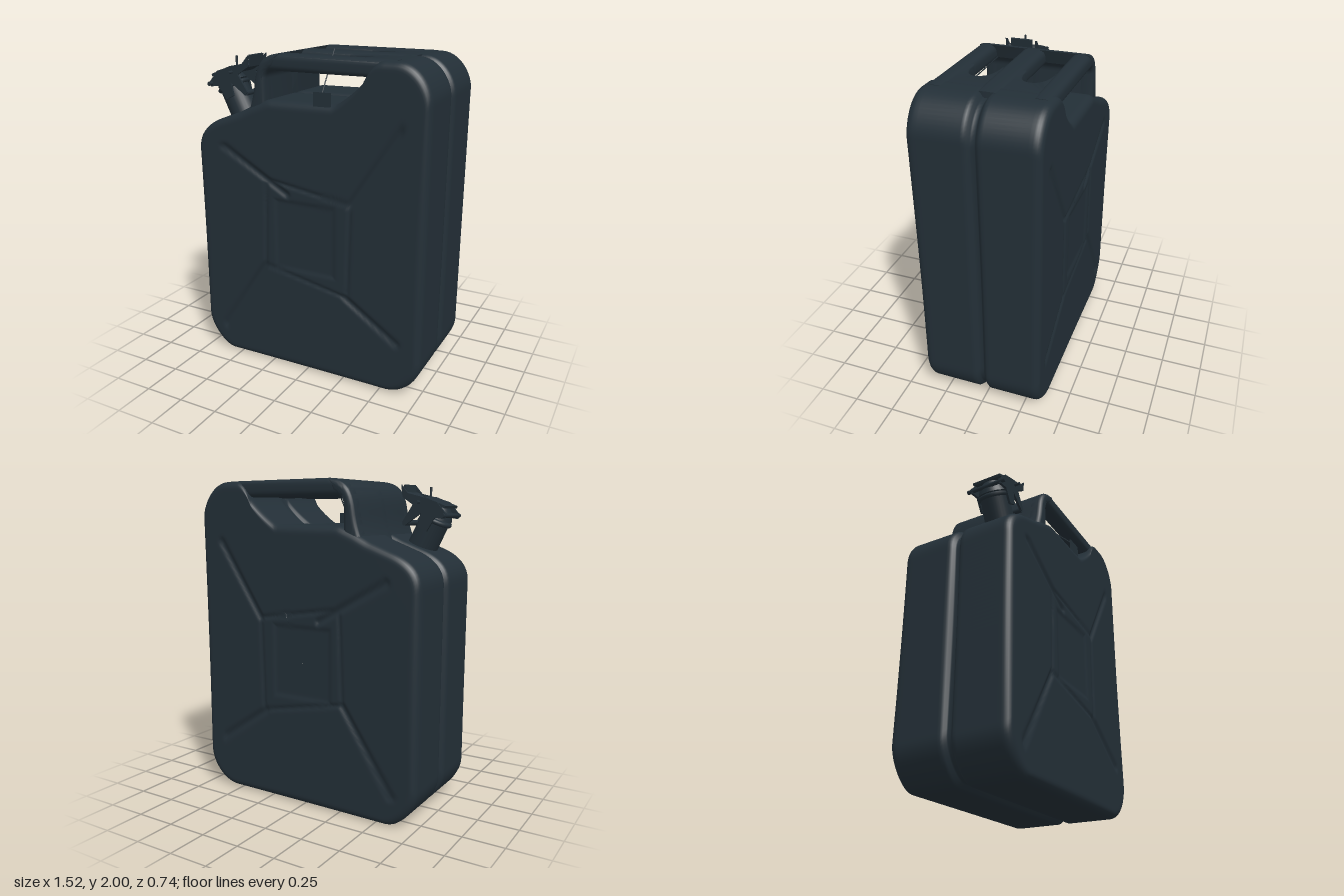
import * as THREE from 'three';
import { toCreasedNormals } from 'three/addons/utils/BufferGeometryUtils.js';

const paint = new THREE.MeshStandardMaterial({ color: 0x232f37 });
paint.name = 'dark slate paint';

function add(parent, name, geo, pos = [0, 0, 0], rot = [0, 0, 0]) {
  const mesh = new THREE.Mesh(geo, paint);
  mesh.name = name;
  mesh.position.set(...pos);
  mesh.rotation.set(...rot);
  parent.add(mesh);
  return mesh;
}

// Extrusion with rounded edges that stays inside its outline
function slab(shape, depth, bevel) {
  const geo = new THREE.ExtrudeGeometry(shape, {
    depth: depth - 2 * bevel, bevelEnabled: true, bevelSize: bevel, bevelThickness: bevel,
    bevelOffset: -bevel, bevelSegments: 5, curveSegments: 12,
  });
  geo.translate(0, 0, bevel);
  return toCreasedNormals(geo, 0.7);
}

// Side outline of the tank, counter-clockwise
function tankOutline() {
  const s = new THREE.Shape();
  s.moveTo(-0.57, 0);
  s.lineTo(0.55, 0.005);
  s.bezierCurveTo(0.66, 0.01, 0.755, 0.12, 0.755, 0.23);
  s.lineTo(0.76, 1.78);
  s.bezierCurveTo(0.75, 1.87, 0.67, 1.975, 0.57, 1.975);
  s.lineTo(0.47, 1.975);
  s.quadraticCurveTo(0.41, 1.95, 0.38, 1.87);
  s.quadraticCurveTo(0.31, 1.79, 0.2, 1.72);
  s.lineTo(-0.25, 1.715);
  s.lineTo(-0.36, 1.67);
  s.lineTo(-0.44, 1.63);
  s.lineTo(-0.6, 1.57);
  s.bezierCurveTo(-0.7, 1.53, -0.76, 1.47, -0.76, 1.38);
  s.lineTo(-0.76, 0.23);
  s.bezierCurveTo(-0.76, 0.13, -0.65, 0, -0.57, 0);
  return s;
}

// Pressed pattern of the large faces: four arms running into a framed square
const frame = [[-0.26, 1.24], [0.3, 1.155], [0.285, 0.57], [-0.28, 0.68]];
const tips = [[-0.56, 1.41], [0.6, 1.61], [0.61, 0.34], [-0.61, 0.18]];
const hub = [[-0.12, 1.16], [0.3, 1.15], [0.27, 0.57], [-0.28, 0.68]];

function segmentDistance(x, y, [ax, ay], [bx, by]) {
  const dx = bx - ax, dy = by - ay;
  const t = THREE.MathUtils.clamp(((x - ax) * dx + (y - ay) * dy) / (dx * dx + dy * dy), 0, 1);
  return Math.hypot(x - ax - t * dx, y - ay - t * dy);
}

function pressDepth(x, y) {
  let d = 1;
  for (let i = 0; i < 4; i++) {
    d = Math.min(d, segmentDistance(x, y, hub[i], tips[i]));
    d = Math.min(d, segmentDistance(x, y, frame[i], frame[(i + 1) % 4]) + 0.012);
  }
  const groove = 0.014 * (1 - THREE.MathUtils.smoothstep(d, 0, 0.035));
  const box = Math.max(Math.abs(x), Math.abs(y - 0.9) - 0.02);
  return groove + 0.008 * (1 - THREE.MathUtils.smoothstep(box, 0.185, 0.215));
}

// Tank lofted from the back centre to the front centre
function tankGeometry() {
  const N = 260, R = 0.05, cx = 0, cy = 0.9, faceRings = 64;
  const outline = tankOutline().getSpacedPoints(N).slice(0, N);
  const half = [[0.035, 0.01], [0.03, 0.017], [0.01, 0.028], [0, 0.042], [0, 0.06], [0, 0.3]];
  for (let i = 0; i <= 6; i++) {
    const a = (i / 6) * Math.PI / 2;
    half.push([R * (1 - Math.cos(a)), 0.32 + R * Math.sin(a)]);
  }
  const rings = half.map(([inset, z]) => ({ inset, z, scale: 1 }));
  for (let i = 1; i <= faceRings; i++) {
    rings.push({ inset: R, z: 0.37, scale: Math.max(0.001, 1 - i / faceRings) });
  }
  const all = [...rings.map((r) => ({ ...r, z: -r.z })).reverse(), ...rings];
  const pos = [], index = [];
  all.forEach(({ inset, z, scale }, r) => {
    for (let j = 0; j < N; j++) {
      const dx = outline[j].x - cx, dy = outline[j].y - cy;
      const k = scale * (1 - inset / Math.hypot(dx, dy));
      const x = cx + dx * k, y = cy + dy * k;
      pos.push(x, y, scale < 1 ? z - Math.sign(z) * pressDepth(x, y) : z);
      if (r < all.length - 1) {
        const a = r * N + j, b = r * N + (j + 1) % N;
        index.push(a, b, a + N, b, b + N, a + N);
      }
    }
  });
  const geo = new THREE.BufferGeometry();
  geo.setAttribute('position', new THREE.Float32BufferAttribute(pos, 3));
  geo.setIndex(index);
  geo.computeVertexNormals();
  return geo;
}

// Side outline of a handle bar with its post, or of the post alone
function handleOutline(postOnly) {
  const s = new THREE.Shape();
  s.moveTo(-0.27, 1.55);
  s.lineTo(-0.43, 1.57);
  s.quadraticCurveTo(-0.365, 1.66, -0.345, 1.8);
  s.bezierCurveTo(-0.325, 1.93, -0.28, 1.97, -0.17, 1.982);
  if (postOnly) {
    s.lineTo(-0.2, 1.9);
  } else {
    s.lineTo(0.55, 1.978);
    s.lineTo(0.55, 1.88);
    s.lineTo(-0.22, 1.88);
  }
  s.quadraticCurveTo(-0.27, 1.88, -0.27, 1.83);
  s.closePath();
  return s;
}

function buildHandles(parent) {
  const handles = new THREE.Group();
  handles.name = 'handles';
  parent.add(handles);
  for (const [z0, z1] of [[-0.35, -0.24], [-0.075, 0.065], [0.235, 0.345]]) {
    add(handles, 'handleBar', slab(handleOutline(false), z1 - z0, 0.036), [0, 0, z0]);
  }
  add(handles, 'handlePost', slab(handleOutline(true), 0.7, 0.03), [0, 0, -0.352]);

  // Web closing both slots with rounded ends
  const web = new THREE.Shape();
  web.moveTo(0.15, -0.335);
  web.lineTo(0.52, -0.335);
  web.lineTo(0.52, 0.335);
  web.lineTo(0.15, 0.335);
  for (const z of [0.15, -0.16]) {
    web.lineTo(0.15, z + 0.08);
    web.quadraticCurveTo(0.32, z + 0.08, 0.325, z);
    web.quadraticCurveTo(0.32, z - 0.08, 0.15, z - 0.08);
  }
  web.closePath();
  add(handles, 'handleWeb', slab(web, 0.088, 0.015), [0, 1.972, 0], [Math.PI / 2, 0, 0]);
}

// Tilted filler neck with its hinged cap and locking lever
function buildSpout(parent) {
  const spout = new THREE.Group();
  spout.name = 'spout';
  spout.position.set(-0.525, 1.58, 0.165);
  spout.rotation.z = 0.46;
  parent.add(spout);
  const cyl = (r0, r1, h, n = 28) => new THREE.CylinderGeometry(r0, r1, h, n);
  const across = [Math.PI / 2, 0, 0];
  add(spout, 'neck', cyl(0.088, 0.092, 0.28), [0, 0.06, 0]);
  add(spout, 'neckRing', new THREE.TorusGeometry(0.09, 0.014, 8, 28), [0, 0.19, 0], across);
  add(spout, 'cap', cyl(0.075, 0.095, 0.05), [0, 0.235, 0]);
  add(spout, 'capTop', cyl(0.05, 0.07, 0.025), [0, 0.272, 0]);
  add(spout, 'hingeRod', cyl(0.013, 0.013, 0.26, 10), [-0.075, 0.25, 0], across);
  add(spout, 'lockPin', cyl(0.009, 0.009, 0.28, 8), [0.1, 0.25, 0], across);
  add(spout, 'leverRod', cyl(0.016, 0.016, 0.2, 10), [0.13, 0.1, 0], across);
  add(spout, 'pinTail', cyl(0.007, 0.007, 0.1, 8), [0.1, 0.295, 0.02], [0, 0, -0.46]);

  // Lever cheeks on both sides, joined by a curved grip
  const cheek = new THREE.Shape([
    [-0.09, 0.235], [-0.03, 0.215], [-0.02, 0.12], [0.04, 0.12], [0.06, 0.2], [0.12, 0.09],
    [0.145, 0.1], [0.13, 0.22], [0.21, 0.23], [0.25, 0.29], [0.19, 0.265], [0.1, 0.285],
    [0.0, 0.3], [-0.08, 0.265],
  ].map(([x, y]) => new THREE.Vector2(x, y)));
  const plate = new THREE.ExtrudeGeometry(cheek, { depth: 0.014, bevelEnabled: false });
  for (const z of [-0.105, 0.091]) add(spout, 'leverCheek', plate, [0, 0, z]);
  add(spout, 'leverStrap', new THREE.BoxGeometry(0.15, 0.016, 0.19), [0.02, 0.288, 0], [0, 0, -0.08]);
  add(spout, 'leverGrip', new THREE.BoxGeometry(0.1, 0.018, 0.19), [0.165, 0.25, 0], [0, 0, 0.05]);
  add(spout, 'leverTip', new THREE.BoxGeometry(0.07, 0.014, 0.14), [0.225, 0.265, 0], [0, 0, 0.95]);
}

// Small tag hanging from a wire
function buildTag(parent) {
  add(parent, 'tag', new THREE.BoxGeometry(0.11, 0.1, 0.008), [0.117, 1.735, 0.352]);
  const wire = new THREE.LineCurve3(new THREE.Vector3(0.075, 2, 0.12), new THREE.Vector3(0.117, 1.78, 0.35));
  add(parent, 'tagWire', new THREE.TubeGeometry(wire, 1, 0.004, 6));
}

export function createModel() {
  const model = new THREE.Group();
  model.name = 'fuelCan';
  add(model, 'tank', tankGeometry());
  buildHandles(model);
  buildSpout(model);
  buildTag(model);
  return model;
}
